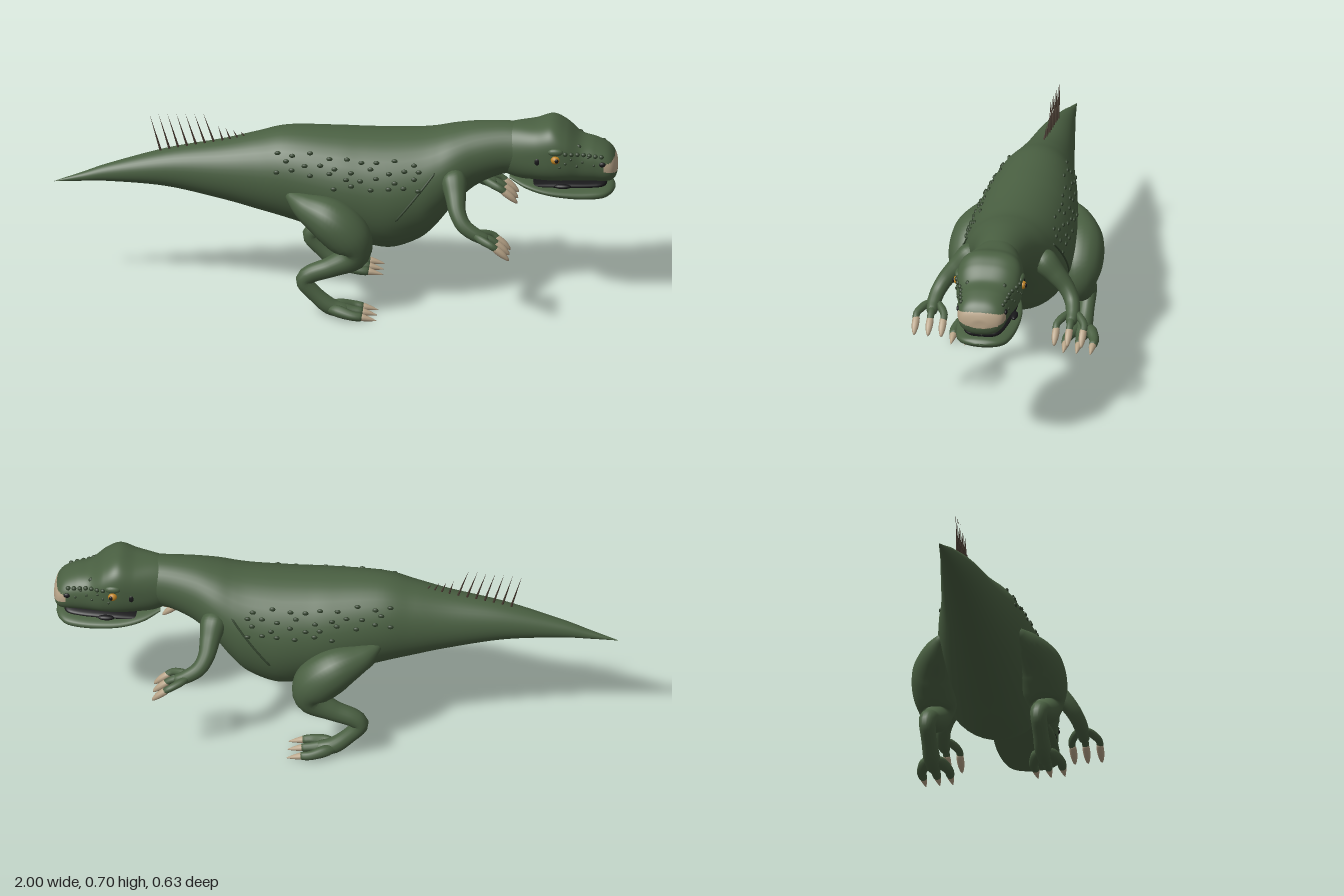
import * as THREE from 'three';
import { mergeVertices } from 'three/addons/utils/BufferGeometryUtils.js';

const V = (x, y, z) => new THREE.Vector3(x, y, z);
const mat = (name, color) => {
  const m = new THREE.MeshStandardMaterial({ color });
  m.name = name;
  return m;
};

// Sections are [x, top, bottom, half width, roundness exponent]
function makeSampler(sections) {
  const a = new THREE.CatmullRomCurve3(sections.map(s => V(s[0], s[1], s[2])), false, 'catmullrom', 0.5);
  const b = new THREE.CatmullRomCurve3(sections.map(s => V(s[3], s[4] || 2, 0)), false, 'catmullrom', 0.5);
  const at = t => {
    const p = a.getPoint(t), q = b.getPoint(t);
    return { x: p.x, cy: (p.y + p.z) / 2, h: Math.max(0, (p.y - p.z) / 2), w: Math.max(0, q.x), e: q.y };
  };
  // Point on the skin at a given x and y, on the +z side
  const surface = (x, y) => {
    let lo = 0, hi = 1;
    for (let i = 0; i < 24; i++) {
      const m = (lo + hi) / 2;
      if (at(m).x < x) lo = m; else hi = m;
    }
    const s = at(lo), k = Math.min(1, Math.abs(y - s.cy) / s.h);
    return V(x, y, s.w * Math.pow(1 - Math.pow(k, s.e), 1 / s.e));
  };
  return { at, surface };
}

// Skin a sampler with rings; faces passing the test go in material group 1
function loft(sampler, steps, sides, test = () => false) {
  const pos = [], plain = [], marked = [];
  for (let i = 0; i <= steps; i++) {
    const s = sampler.at(i / steps);
    for (let j = 0; j < sides; j++) {
      const t = (j / sides) * Math.PI * 2, c = Math.cos(t), n = Math.sin(t);
      pos.push(s.x, s.cy + s.h * Math.sign(n) * Math.abs(n) ** (2 / s.e), s.w * Math.sign(c) * Math.abs(c) ** (2 / s.e));
    }
  }
  for (let i = 0; i < steps; i++) for (let j = 0; j < sides; j++) {
    const a = i * sides + j, b = i * sides + (j + 1) % sides, c = a + sides, d = b + sides;
    const mid = k => (pos[a * 3 + k] + pos[d * 3 + k]) / 2;
    (test(mid(0), mid(1), mid(2)) ? marked : plain).push(a, c, b, b, c, d);
  }
  const g = new THREE.BufferGeometry();
  g.setAttribute('position', new THREE.Float32BufferAttribute(pos, 3));
  g.setIndex([...plain, ...marked]);
  g.addGroup(0, plain.length, 0);
  g.addGroup(plain.length, marked.length, 1);
  g.computeVertexNormals();
  return g;
}

// Tapered tube through [x, y, z, radius] points, closed at both ends
function limb(points, segs = 28, sides = 16) {
  const curve = new THREE.CatmullRomCurve3(points.map(p => V(p[0], p[1], p[2])), false, 'catmullrom', 0.5);
  const radii = new THREE.CatmullRomCurve3(points.map(p => V(p[3], 0, 0)), false, 'catmullrom', 0.5);
  const g = new THREE.TubeGeometry(curve, segs, 1, sides);
  const p = g.attributes.position, v = V(0, 0, 0);
  for (let i = 0; i <= segs; i++) {
    const c = curve.getPointAt(i / segs);
    const end = i === 0 || i === segs;
    const r = end ? 0 : Math.max(0.001, radii.getPoint(curve.getUtoTmapping(i / segs)).x);
    for (let j = 0; j <= sides; j++) {
      const k = i * (sides + 1) + j;
      v.fromBufferAttribute(p, k).sub(c).multiplyScalar(r).add(c);
      p.setXYZ(k, v.x, v.y, v.z);
    }
  }
  g.deleteAttribute('uv');
  g.deleteAttribute('normal');
  const m = mergeVertices(g, 1e-5);
  m.computeVertexNormals();
  return m;
}

export function createModel() {
  const group = new THREE.Group();
  const skin = mat('green skin', 0x4a6042), scale = mat('dark green scales', 0x34452f);
  const horn = mat('pale claw', 0xb8a488), black = mat('black', 0x18181a);
  const amber = mat('amber eye', 0xc08424), bristle = mat('brown bristle', 0x463a30);
  const add = (name, geo, material, parent = group) => {
    const m = new THREE.Mesh(geo, material);
    m.name = name;
    parent.add(m);
    return m;
  };
  const ball = new THREE.SphereGeometry(1, 14, 10);
  const blob = (name, p, sx, sy, sz, material) => {
    const m = add(name, ball, material);
    m.position.copy(p);
    m.scale.set(sx, sy, sz);
    return m;
  };

  // Tail, trunk and neck
  const body = makeSampler([
    [-1, 0.405, 0.404, 0.001], [-0.9, 0.442, 0.41, 0.016], [-0.8, 0.48, 0.413, 0.031], [-0.6, 0.54, 0.402, 0.064],
    [-0.4, 0.58, 0.36, 0.097], [-0.28, 0.61, 0.328, 0.122], [-0.17, 0.636, 0.298, 0.148], [0, 0.636, 0.245, 0.178],
    [0.1, 0.634, 0.212, 0.188], [0.2, 0.634, 0.198, 0.192], [0.3, 0.638, 0.235, 0.181], [0.36, 0.645, 0.29, 0.167],
    [0.42, 0.658, 0.365, 0.145], [0.5, 0.671, 0.44, 0.112], [0.6, 0.676, 0.485, 0.09], [0.7, 0.672, 0.49, 0.085],
  ]);
  add('body', loft(body, 100, 40), skin);

  // Upper head with a pale plate on the nose
  const head = makeSampler([
    [0.58, 0.665, 0.5, 0.07, 2], [0.64, 0.676, 0.475, 0.09, 2.2], [0.71, 0.682, 0.475, 0.108, 2.6],
    [0.77, 0.696, 0.475, 0.118, 2.8], [0.82, 0.673, 0.475, 0.115, 2.7], [0.87, 0.632, 0.473, 0.1, 2.5],
    [0.92, 0.618, 0.472, 0.092, 2.4], [0.965, 0.597, 0.472, 0.084, 2.4], [0.988, 0.572, 0.48, 0.068, 2.3],
    [0.999, 0.545, 0.5, 0.035, 2], [1, 0.525, 0.523, 0.001, 2],
  ]);
  add('head', loft(head, 110, 72, (x, y, z) => x > 0.955 && y > 0.508 + 2.5 * z * z && y < 0.567 - 1.5 * z * z), [skin, horn]);

  // Lower jaw and dark mouth
  const jaw = makeSampler([
    [0.62, 0.5, 0.475, 0.06, 2], [0.68, 0.485, 0.449, 0.095, 2.3], [0.76, 0.468, 0.43, 0.111, 2.5],
    [0.86, 0.46, 0.416, 0.107, 2.5], [0.94, 0.459, 0.414, 0.092, 2.4], [0.975, 0.456, 0.422, 0.065, 2.2],
    [0.99, 0.445, 0.434, 0.025, 2], [0.991, 0.44, 0.439, 0.001, 2],
  ]);
  add('lowerJaw', loft(jaw, 50, 40), skin);
  const mouth = makeSampler([
    [0.7, 0.48, 0.455, 0.09, 2], [0.8, 0.485, 0.452, 0.088, 2], [0.9, 0.482, 0.45, 0.076, 2],
    [0.955, 0.48, 0.452, 0.055, 2], [0.965, 0.466, 0.464, 0.001, 2],
  ]);
  add('mouth', loft(mouth, 20, 24), black);

  // Bristles along the tail
  for (let i = 0; i < 11; i++) {
    const tall = i < 7, x = -0.62 + i * 0.0315 - (tall ? 0 : 0.005 * (i - 7));
    const base = V(x, body.surface(x, 0.5).y, 0);
    base.y = 0.53 + (x + 0.62) * 0.2;
    const tip = V(x - (tall ? 0.04 : 0.018), tall ? 0.672 + i * 0.002 : 0.635 - (i - 7) * 0.007, 0);
    const dir = tip.clone().sub(base);
    const m = add('tailBristle', new THREE.ConeGeometry(0.0045, dir.length(), 6), bristle);
    m.position.copy(base).addScaledVector(dir, 0.5);
    m.quaternion.setFromUnitVectors(V(0, 1, 0), dir.normalize());
  }

  for (const s of [1, -1]) {
    const side = p => V(p.x, p.y, p.z * s);
    const flip = pts => pts.map(([x, y, z, r]) => [x, y, z * s, r]);

    // Hind leg: thigh, shank, long ankle and foot
    add('hindLeg', limb(flip([
      [-0.17, 0.44, 0.13, 0.01], [-0.1, 0.405, 0.165, 0.05], [-0.01, 0.365, 0.19, 0.08], [0.06, 0.3, 0.195, 0.08],
      [0.075, 0.235, 0.198, 0.055], [0, 0.19, 0.2, 0.038], [-0.075, 0.16, 0.2, 0.033], [-0.1, 0.13, 0.2, 0.03],
      [-0.06, 0.08, 0.2, 0.028], [-0.005, 0.034, 0.2, 0.03], [0.05, 0.022, 0.2, 0.022], [0.07, 0.018, 0.2, 0.005],
    ]), 60, 20), skin);
    for (const dz of [-0.047, 0, 0.05]) {
      const z = 0.2 + dz;
      add('toe', limb(flip([[-0.02, 0.03, 0.2 + dz * 0.2, 0.01], [0.02, 0.03, 0.2 + dz * 0.6, 0.021],
        [0.07, 0.022, z, 0.017], [0.105, 0.017, z, 0.014], [0.115, 0.015, z, 0.004]]), 16, 12), skin);
      add('toeClaw', limb(flip([[0.09, 0.018, z, 0.008], [0.105, 0.017, z, 0.013], [0.13, 0.012, z, 0.009], [0.16, 0.005, z, 0.001]]), 12, 10), horn);
    }

    // Arm with three fingers
    add('arm', limb(flip([
      [0.41, 0.53, 0.1, 0.02], [0.425, 0.505, 0.13, 0.045], [0.435, 0.46, 0.175, 0.037], [0.445, 0.415, 0.215, 0.03],
      [0.47, 0.375, 0.24, 0.027], [0.515, 0.345, 0.25, 0.024], [0.55, 0.33, 0.25, 0.018], [0.56, 0.325, 0.25, 0.004],
    ]), 40, 16), skin);
    for (const dz of [-0.047, 0, 0.05]) {
      const z = 0.25 + dz;
      add('finger', limb(flip([[0.505, 0.35, 0.25 + dz * 0.2, 0.008], [0.53, 0.342, 0.25 + dz * 0.6, 0.014],
        [0.565, 0.33, z, 0.013], [0.588, 0.314, z, 0.011], [0.594, 0.308, z, 0.003]]), 16, 10), skin);
      add('fingerClaw', limb(flip([[0.572, 0.325, z, 0.008], [0.585, 0.315, z, 0.013], [0.61, 0.294, z, 0.012], [0.632, 0.272, z, 0.004]]), 12, 10), horn);
    }

    // Eye, pupil, brow, ear, nostril and mouth corner
    blob('eye', V(0.785, 0.585, 0.118 * s), 0.016, 0.015, 0.014, amber);
    blob('pupil', V(0.79, 0.586, 0.129 * s), 0.007, 0.008, 0.005, black);
    blob('brow', V(0.785, 0.613, 0.113 * s), 0.028, 0.014, 0.012, skin);
    blob('ear', side(head.surface(0.72, 0.572)), 0.009, 0.013, 0.004, black);
    blob('nostril', side(head.surface(0.95, 0.557)), 0.012, 0.009, 0.006, black);
    blob('mouthCorner', V(0.81, 0.473, 0.093 * s), 0.03, 0.009, 0.012, black);

    // Small scales on the head
    for (let i = 0; i < 7; i++) {
      blob('browScale', side(head.surface(0.82 + i * 0.021, 0.606 - i * 0.004)), 0.009, 0.008, 0.008, scale);
      blob('cheekScale', side(head.surface(0.8 + i * 0.02, 0.556 + 0.014 * (i % 3))), 0.005, 0.005, 0.004, scale);
    }
    for (const z of [0.053, 0.066]) blob('snoutBump', V(0.865, 0.614, z * s), 0.01, 0.012, 0.008, scale);

    // Rows of scales along the flank
    for (let row = 0; row < 4; row++) for (let i = 0; i < 9; i++) {
      const x = -0.2 + i * 0.06 + (row % 2) * 0.03 + 0.008 * Math.sin(i * 5 + row * 3);
      const y = 0.58 - row * 0.028 + 0.007 * Math.sin(i * 3.7 + row * 2) - (x > 0 ? 0.012 : 0);
      if (row === 3 && i < 3) continue;
      blob('flankScale', side(body.surface(x, y)), 0.011, 0.008, 0.006, scale);
    }

    // Long scar on the ribs
    const scar = [];
    for (let i = 0; i <= 6; i++) {
      const p = body.surface(0.22 + i * 0.0235, 0.36 + i * 0.03);
      scar.push([p.x, p.y, p.z, 0.004]);
    }
    add('scar', limb(flip(scar), 24, 8), scale);
  }
  return group;
}
